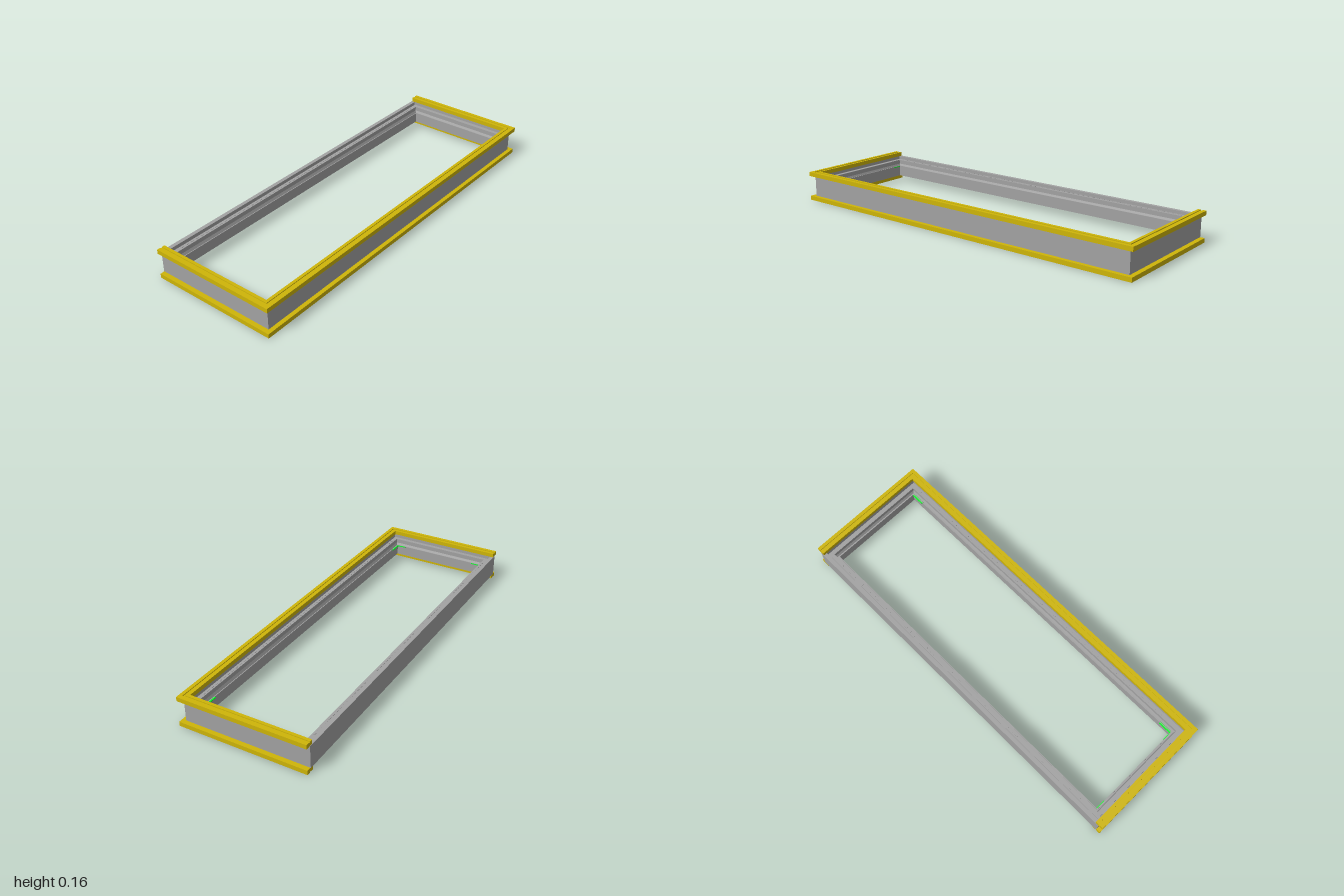
import * as THREE from 'three';
import { mergeGeometries } from 'three/addons/utils/BufferGeometryUtils.js';

const HALF_X = 0.977, HALF_Z = 0.3225, MID_Z = -0.0105, MID_Y = 0.0775;

const material = (color) => new THREE.MeshStandardMaterial({ color, flatShading: true });

// Closed section of [inset, y] points swept around the rectangle with mitred corners
function sweepFrame(section) {
  const signs = [[1, 1], [1, -1], [-1, -1], [-1, 1]];
  const corner = (s, [d, y]) => {
    const [sx, sz] = signs[s % 4];
    return [sx * (HALF_X - d), y, MID_Z + sz * (HALF_Z - d)];
  };
  const pos = [];
  for (let s = 0; s < 4; s++) {
    section.forEach((p, i) => {
      const q = section[(i + 1) % section.length];
      const a = corner(s, p), b = corner(s + 1, p), c = corner(s + 1, q), d = corner(s, q);
      pos.push(...a, ...b, ...c, ...a, ...c, ...d);
    });
  }
  const geo = new THREE.BufferGeometry();
  geo.setAttribute('position', new THREE.Float32BufferAttribute(pos, 3));
  geo.computeVertexNormals();
  return geo;
}

// U-shaped strip around the front and both ends, open at the back
function trimStrip(outer, inner, y0, y1) {
  const front = 0.333, back = -0.331;
  const o = 1 - outer, n = 1 - inner;
  const shape = new THREE.Shape([
    [-o, -back], [-o, outer - front], [o, outer - front], [o, -back],
    [n, -back], [n, inner - front], [-n, inner - front], [-n, -back],
  ].map(([x, y]) => new THREE.Vector2(x, y)));
  const geo = new THREE.ExtrudeGeometry(shape, { depth: y1 - y0, bevelEnabled: false });
  return geo.rotateX(-Math.PI / 2).translate(0, y0, 0);
}

function box(w, h, d, x, y, z) {
  return new THREE.BoxGeometry(w, h, d).translate(x, y, z);
}

export function createModel() {
  const group = new THREE.Group();
  const add = (name, geo, mat) => {
    const mesh = new THREE.Mesh(geo, mat);
    mesh.name = name;
    group.add(mesh);
  };
  const grey = material(0xa2a2a2), yellow = material(0xceb508), green = material(0x00ff22);

  // Frame with grooved steps above and a nearly flat underside
  add('frame', sweepFrame([
    [0, 0.021], [0, 0.134], [0.02, 0.134], [0.02, 0.112], [0.025, 0.112], [0.025, 0.12],
    [0.047, 0.12], [0.047, 0.098], [0.053, 0.085], [0.058, 0.085], [0.058, 0.09], [0.062, 0.09],
    [0.062, 0.035], [0.05, 0.035], [0.05, 0.028], [0.02, 0.028], [0.02, 0.021],
  ]), grey);

  // Yellow trims: a base strip with two low rails
  for (const [name, flip] of [['topTrim', false], ['bottomTrim', true]]) {
    const strip = (outer, inner, y0, y1) => flip
      ? trimStrip(outer, inner, 2 * MID_Y - y1, 2 * MID_Y - y0)
      : trimStrip(outer, inner, y0, y1);
    add(name, mergeGeometries([
      strip(0, 0.043, 0.133, 0.151),
      strip(0, 0.018, 0.151, 0.155),
      strip(0.028, 0.043, 0.151, 0.155),
    ]), yellow);
  }

  // Rows of small ribs along the long ledges
  const ribs = [];
  for (let i = 0; i < 60; i++) {
    const x = -0.885 + i * 0.03;
    for (const s of [-1, 1]) {
      ribs.push(box(0.015, 0.002, 0.006, x, 0.1205, MID_Z + s * (HALF_Z - 0.036)));
    }
  }
  add('ledgeRibs', mergeGeometries(ribs), grey);

  // Thin green corner tabs on the inner lip
  const tabs = [];
  const lipX = HALF_X - 0.062, lipZ = HALF_Z - 0.062;
  for (const s of [-1, 1]) {
    tabs.push(box(0.07, 0.004, 0.012, s * 0.88, 0.087, MID_Z + lipZ));
    tabs.push(box(0.006, 0.004, 0.05, -lipX, 0.087, MID_Z + s * 0.235));
  }
  add('cornerTabs', mergeGeometries(tabs), green);

  return group;
}
